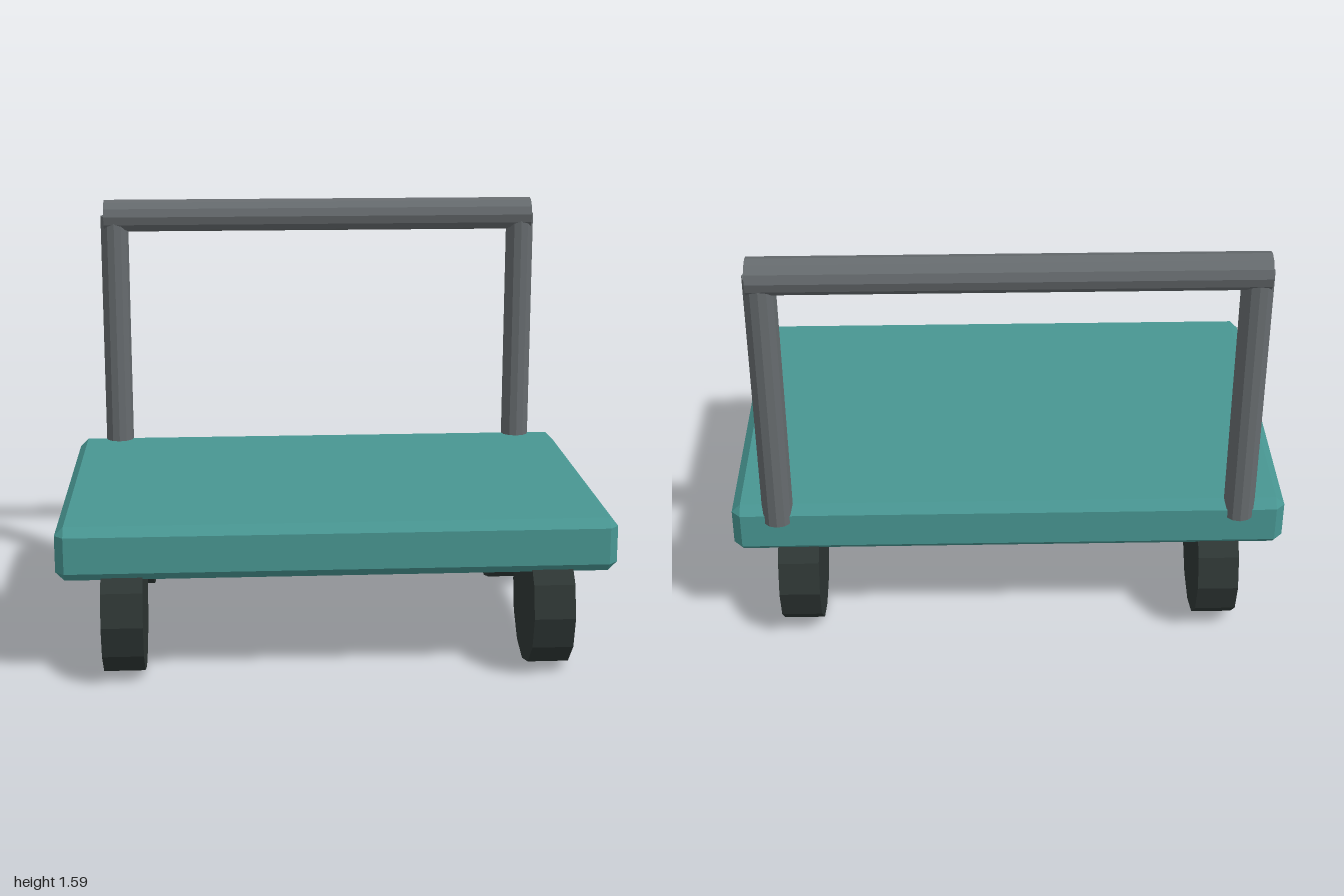
import * as THREE from 'three';
import { ConvexGeometry } from 'three/addons/geometries/ConvexGeometry.js';

function makeMaterial(name, color) {
  const material = new THREE.MeshStandardMaterial({ color, flatShading: true });
  material.name = name;
  return material;
}

// Box with a flat bevel on every edge: three points per corner, wrapped in a hull
function bevelledBox(w, h, d, b) {
  const points = [];
  for (const sx of [-1, 1]) for (const sy of [-1, 1]) for (const sz of [-1, 1]) {
    const x = w / 2, y = h / 2, z = d / 2;
    points.push(
      new THREE.Vector3(sx * x, sy * (y - b), sz * (z - b)),
      new THREE.Vector3(sx * (x - b), sy * y, sz * (z - b)),
      new THREE.Vector3(sx * (x - b), sy * (y - b), sz * z)
    );
  }
  return new ConvexGeometry(points);
}

export function createModel() {
  const group = new THREE.Group();
  group.name = 'platformCart';
  const teal = makeMaterial('teal deck', 0x489692);
  const steel = makeMaterial('grey metal', 0x666b6e);
  const rubber = makeMaterial('dark rubber', 0x2e3634);

  const add = (name, geometry, material, x, y, z) => {
    const mesh = new THREE.Mesh(geometry, material);
    mesh.name = name;
    mesh.position.set(x, y, z);
    group.add(mesh);
  };

  // Load deck
  add('deck', bevelledBox(2, 0.197, 1.33, 0.032), teal, 0, 0.486, 0);

  // Wheels, handle posts: mirrored left and right
  const wheel = new THREE.CylinderGeometry(0.235, 0.235, 0.148, 12).rotateZ(Math.PI / 2);
  const post = new THREE.CylinderGeometry(0.056, 0.056, 1, 12);
  for (const [side, s] of [['left', 1], ['right', -1]]) {
    add(side + 'FrontWheel', wheel, rubber, s * 0.768, 0.235, 0.482);
    add(side + 'BackWheel', wheel, rubber, s * 0.768, 0.235, -0.482);
    add(side + 'HandlePost', post, steel, s * 0.834, 1.02, -0.633);
  }

  // Push bar across the posts
  const bar = new THREE.CylinderGeometry(0.065, 0.065, 1.75, 12).rotateZ(Math.PI / 2);
  add('pushBar', bar, steel, 0, 1.52, -0.635);

  return group;
}
